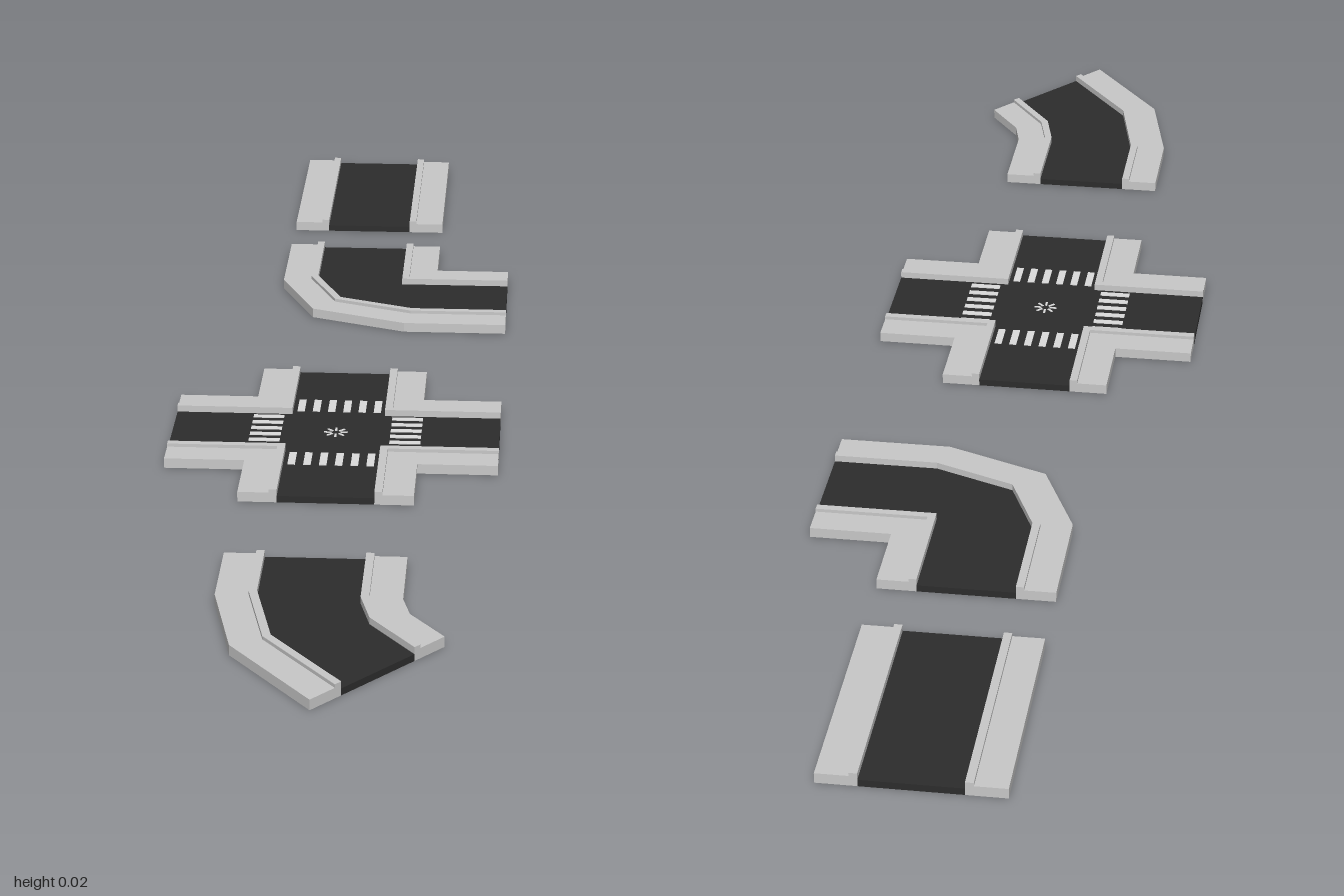
import * as THREE from 'three';

const WALK = 0.0515;   // pavement width
const CURB = 0.041;    // where the raised curb starts
const ROAD_H = 0.009, WALK_H = 0.0135, CURB_H = 0.018;
const W = 0.115;       // half width of a tile
const ARM = 0.222;     // half length of the crossroads
const CROSS_Z = 0.18;

const material = (name, color) => {
  const m = new THREE.MeshStandardMaterial({ color });
  m.name = name;
  return m;
};

// Shifts a polyline [x, z] sideways with mitred joints; the ends slide along the given directions
function offset(pts, d, startDir, endDir) {
  const normals = pts.slice(1).map(([x, z], i) =>
    new THREE.Vector2(pts[i][1] - z, x - pts[i][0]).normalize());
  if (normals[0].dot(startDir) < 0) normals.forEach(n => n.negate());
  return pts.map(([x, z], i) => {
    const a = normals[i - 1], b = normals[i];
    const dir = !a ? startDir.clone() : !b ? endDir.clone() : a.clone().add(b);
    dir.multiplyScalar(d / dir.dot(a || b));
    return [x + dir.x, z + dir.y];
  });
}

// Flat slab from a closed [x, z] outline
function slab(name, outline, y, height, mat) {
  const shape = new THREE.Shape(outline.map(([x, z]) => new THREE.Vector2(x, -z)));
  const geo = new THREE.ExtrudeGeometry(shape, { depth: height, bevelEnabled: false });
  geo.rotateX(-Math.PI / 2).translate(0, y, 0);
  const mesh = new THREE.Mesh(geo, mat);
  mesh.name = name;
  return mesh;
}

// Pavement with a raised curb along its road side
function pavement(pts, startDir, endDir, mat) {
  const line = d => offset(pts, d, startDir, endDir);
  const band = (d0, d1) => [...line(d0), ...line(d1).reverse()];
  const g = new THREE.Group();
  g.name = 'pavement';
  g.add(slab('pavementSlab', band(0, WALK), 0, WALK_H, mat));
  g.add(slab('curb', band(CURB, WALK), WALK_H, CURB_H - WALK_H, mat));
  return g;
}

// Road tile between two outer edges
function roadTile(name, left, right, mats) {
  const across = (a, b) => new THREE.Vector2(b[0] - a[0], b[1] - a[1]).normalize();
  const s = across(left[0], right[0]), e = across(left.at(-1), right.at(-1));
  const s2 = s.clone().negate(), e2 = e.clone().negate();
  const g = new THREE.Group();
  g.name = name;
  g.add(pavement(left, s, e, mats.walk), pavement(right, s2, e2, mats.walk));
  const outline = [...offset(left, WALK, s, e), ...offset(right, WALK, s2, e2).reverse()];
  g.add(slab('roadSurface', outline, 0, ROAD_H, mats.road));
  return g;
}

function crossroads(mats) {
  const g = new THREE.Group();
  g.name = 'crossroads';
  g.position.z = CROSS_Z;
  const r = W - WALK;

  // Plus-shaped road
  g.add(slab('roadSurface', [
    [r, -ARM], [r, -r], [ARM, -r], [ARM, r], [r, r], [r, ARM],
    [-r, ARM], [-r, r], [-ARM, r], [-ARM, -r], [-r, -r], [-r, -ARM],
  ], 0, ROAD_H, mats.road));

  // Corner pavements
  for (const sx of [-1, 1]) for (const sz of [-1, 1]) {
    g.add(pavement([[sx * W, sz * ARM], [sx * W, sz * W], [sx * ARM, sz * W]],
      new THREE.Vector2(-sx, 0), new THREE.Vector2(0, -sz), mats.walk));
  }

  // Zebra crossings on the four arms
  const stripe = new THREE.BoxGeometry(0.01, 0.001, 0.042);
  for (let side = 0; side < 4; side++) {
    const crossing = new THREE.Group();
    crossing.name = 'zebraCrossing';
    crossing.rotation.y = side * Math.PI / 2;
    for (let i = 0; i < 6; i++) {
      const bar = new THREE.Mesh(stripe, mats.paint);
      bar.name = 'crossingStripe';
      bar.position.set((i - 2.5) * 0.021, ROAD_H + 0.0005, 0.095);
      crossing.add(bar);
    }
    g.add(crossing);
  }

  // Small star of dashes in the middle
  const dash = new THREE.BoxGeometry(0.003, 0.001, 0.01).translate(0, 0, 0.011);
  for (let i = 0; i < 8; i++) {
    const ray = new THREE.Mesh(dash, mats.paint);
    ray.name = 'centreMark';
    ray.position.y = ROAD_H + 0.0005;
    ray.rotation.y = i * Math.PI / 4;
    g.add(ray);
  }
  return g;
}

export function createModel() {
  const mats = {
    road: material('asphalt', 0x2c2c2c),
    walk: material('concrete', 0xc8c8c8),
    paint: material('roadPaint', 0xdcdcdc),
  };
  const model = new THREE.Group();
  model.name = 'roadTiles';

  model.add(roadTile('straightRoad',
    [[-W, -1], [-W, -0.682]],
    [[W, -1], [W, -0.682]], mats));

  model.add(roadTile('cornerRoad',
    [[-W, -0.577], [-W, -0.412], [-0.063, -0.29], [0.074, -0.237], [ARM, -0.237]],
    [[W, -0.577], [W, -0.467], [ARM, -0.467]], mats));

  model.add(crossroads(mats));

  model.add(roadTile('bendRoad',
    [[-W, 0.595], [-W, 0.72], [-0.085, 0.861], [0.02, 1]],
    [[W, 0.595], [W, 0.72], [0.125, 0.762], [0.169, 0.823]], mats));

  return model;
}
